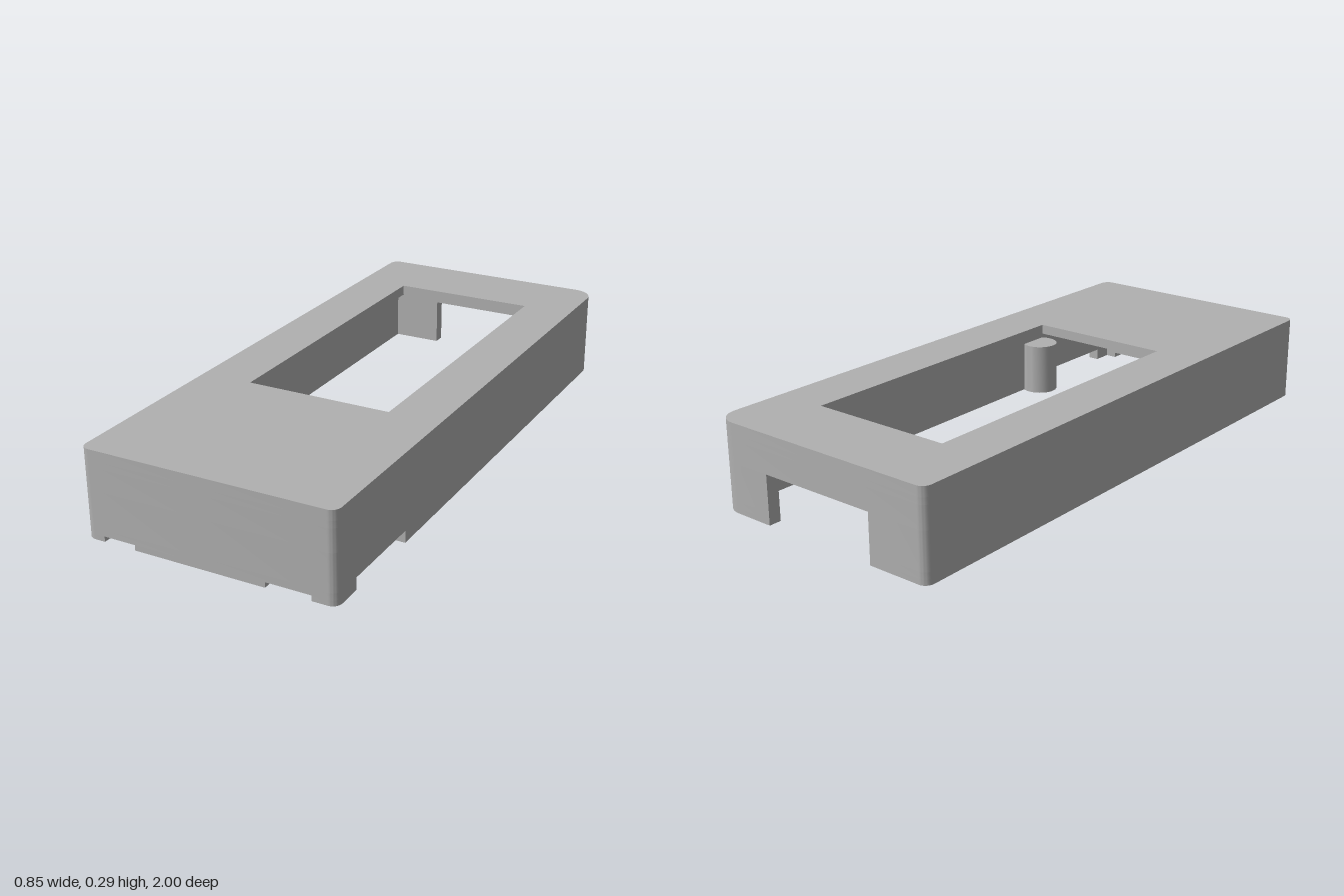
import * as THREE from 'three';
import { toCreasedNormals } from 'three/addons/utils/BufferGeometryUtils.js';

const grey = new THREE.MeshStandardMaterial({ color: 0xb0b0b0 });
grey.name = 'housing grey';

// Plan outline from [x, z, radius] points; corners with a radius are rounded.
function outline(points, Type = THREE.Shape) {
  const shape = new Type();
  const n = points.length;
  const pts = points.map(([x, z]) => new THREE.Vector2(x, -z));
  points.forEach(([, , r = 0], i) => {
    const p = pts[i];
    const toPrev = pts[(i + n - 1) % n].clone().sub(p).normalize();
    const toNext = pts[(i + 1) % n].clone().sub(p).normalize();
    const at = (dir, d) => p.clone().addScaledVector(dir, d);
    const a = at(toPrev, r);
    if (i === 0) shape.moveTo(a.x, a.y);
    else shape.lineTo(a.x, a.y);
    if (r > 0) {
      const c1 = at(toPrev, r * 0.4477), c2 = at(toNext, r * 0.4477), b = at(toNext, r);
      shape.bezierCurveTo(c1.x, c1.y, c2.x, c2.y, b.x, b.y);
    }
  });
  shape.closePath();
  return shape;
}

const rect = (x0, x1, z0, z1) => [[x0, z0], [x1, z0], [x1, z1], [x0, z1]];

export function createModel() {
  const model = new THREE.Group();
  model.name = 'displayHousing';

  function slab(name, points, y0, y1, hole) {
    const shape = outline(points);
    if (hole) shape.holes.push(outline(hole, THREE.Path));
    const geo = new THREE.ExtrudeGeometry(shape, { depth: y1 - y0, bevelEnabled: false, curveSegments: 10 });
    geo.rotateX(-Math.PI / 2).translate(0, y0, 0);
    const mesh = new THREE.Mesh(toCreasedNormals(geo, 0.6), grey);
    mesh.name = name;
    model.add(mesh);
  }

  // Main plan sizes: outer half width, inner half width, inner half length
  const W = 0.425, w = 0.385, d = 0.957;
  const FL = [-W, 1, 0.03], FR = [W, 1, 0.03], BR = [W, -1, 0.075], BL = [-W, -1, 0.03];
  const fl = [-w, d], fr = [w, d], br = [w, -d], bl = [-w, -d];
  const full = [FL, FR, BR, BL];
  const gap = 0.21;                       // half width of the rear opening
  const rearRight = [[gap, -d], [gap, -1]];
  const rearLeft = [[-gap, -1], [-gap, -d]];
  const sideFront = 0.89, sideBack = 0.59; // side notch
  const backRun = [[W, sideBack], [w, sideBack], br, ...rearRight, BR];

  // Top plate with window, then the stepped recess under it
  slab('topPlate', full, 0.262, 0.295, rect(-0.25, 0.25, -0.735, 0.36));
  slab('displayRecess', full, 0.24, 0.262, rect(-0.275, 0.275, -0.92, 0.49));

  // Side walls: closed ring above the rear opening, open at the back below it
  slab('upperWall', full, 0.165, 0.24, rect(-w, w, -d, d));
  slab('middleWall', [...rearLeft, bl, fl, fr, br, ...rearRight, BR, FR, FL, BL], 0.04, 0.165);

  // Wall broken by the side notch
  slab('lowerWall', [...rearLeft, bl, fl, fr, [w, sideFront], [W, sideFront], FR, FL, BL], 0.018, 0.04);
  slab('lowerSideWall', backRun, 0.018, 0.04);

  // Rim broken by the side notch and two front notches
  slab('rimLeftSide', [...rearLeft, bl, fl, [-0.36, d], [-0.36, 1], FL, BL], 0, 0.018);
  slab('rimFront', rect(-0.25, 0.195, d, 1), 0, 0.018);
  slab('rimCorner', [[0.345, 1], [0.345, d], fr, [w, sideFront], [W, sideFront], FR], 0, 0.018);
  slab('rimRightSide', backRun, 0, 0.018);

  // Screw posts with counterbored blind holes, fused to the walls
  const profile = [[0, 0.14], [0.034, 0.14], [0.034, 0.025], [0.046, 0.025], [0.046, 0],
    [0.063, 0], [0.063, 0.18], [0, 0.18]].map(([x, y]) => new THREE.Vector2(x, y));
  const postGeo = toCreasedNormals(new THREE.LatheGeometry(profile, 40), 0.6);
  for (const [x, z] of [[-0.353, 0.475], [0.353, 0.475], [0, 0.922]]) {
    const post = new THREE.Mesh(postGeo, grey);
    post.name = 'screwPost';
    post.position.set(x, 0, z);
    model.add(post);
  }
  return model;
}
